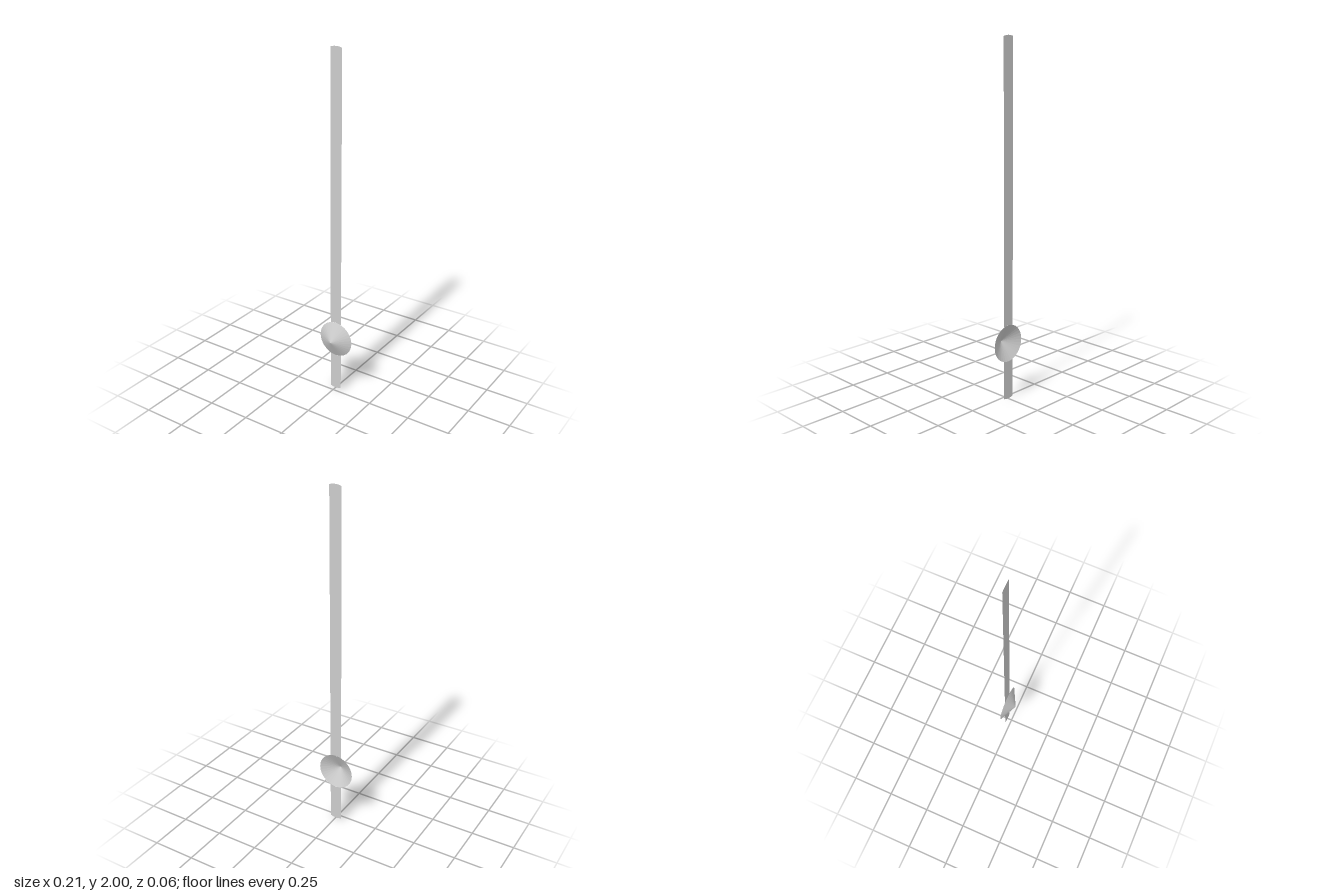
import * as THREE from 'three';

const HALF_WIDTH = 0.035;
const RADIUS = 0.106;
const CENTRE_Y = 0.328;
const BACK_Z = -0.028;
const DEPTH = 0.056;

// Point on an arc of the disc radius, whose crown sits at the given height
function arcPoints(crownY, bulge) {
  const points = [];
  for (let i = 0; i <= 8; i++) {
    const x = -HALF_WIDTH + (2 * HALF_WIDTH * i) / 8;
    const drop = RADIUS - Math.sqrt(RADIUS * RADIUS - x * x);
    points.push(new THREE.Vector2(x, crownY - bulge * drop));
  }
  return points;
}

// Flat strip with arced ends; each bulge is +1 (crown up) or -1 (crown down)
function makeStrip(name, bottomY, bottomBulge, topY, topBulge, material) {
  const outline = [
    ...arcPoints(bottomY, bottomBulge),
    ...arcPoints(topY, topBulge).reverse(),
  ];
  const strip = new THREE.Mesh(new THREE.ShapeGeometry(new THREE.Shape(outline)), material);
  strip.name = name;
  strip.position.z = BACK_Z;
  return strip;
}

export function createModel() {
  const group = new THREE.Group();
  group.name = 'pendulum';
  const stripMaterial = new THREE.MeshStandardMaterial({ color: 0xcccccc, side: THREE.DoubleSide });
  const bobMaterial = new THREE.MeshStandardMaterial({
    color: 0xcccccc, side: THREE.DoubleSide, flatShading: true,
  });

  // Rod in two lengths, each meeting the rim of the bob
  group.add(makeStrip('upperRod', CENTRE_Y + RADIUS, 1, 2, 1, stripMaterial));
  group.add(makeStrip('lowerRod', 0, -1, CENTRE_Y - RADIUS, -1, stripMaterial));

  // Hollow conical bob, open at the back and pointing forward
  const bob = new THREE.Mesh(new THREE.ConeGeometry(RADIUS, DEPTH, 32, 1, true), bobMaterial);
  bob.name = 'bob';
  bob.rotation.x = Math.PI / 2;
  bob.position.set(0, CENTRE_Y, BACK_Z + DEPTH / 2);
  group.add(bob);

  return group;
}
